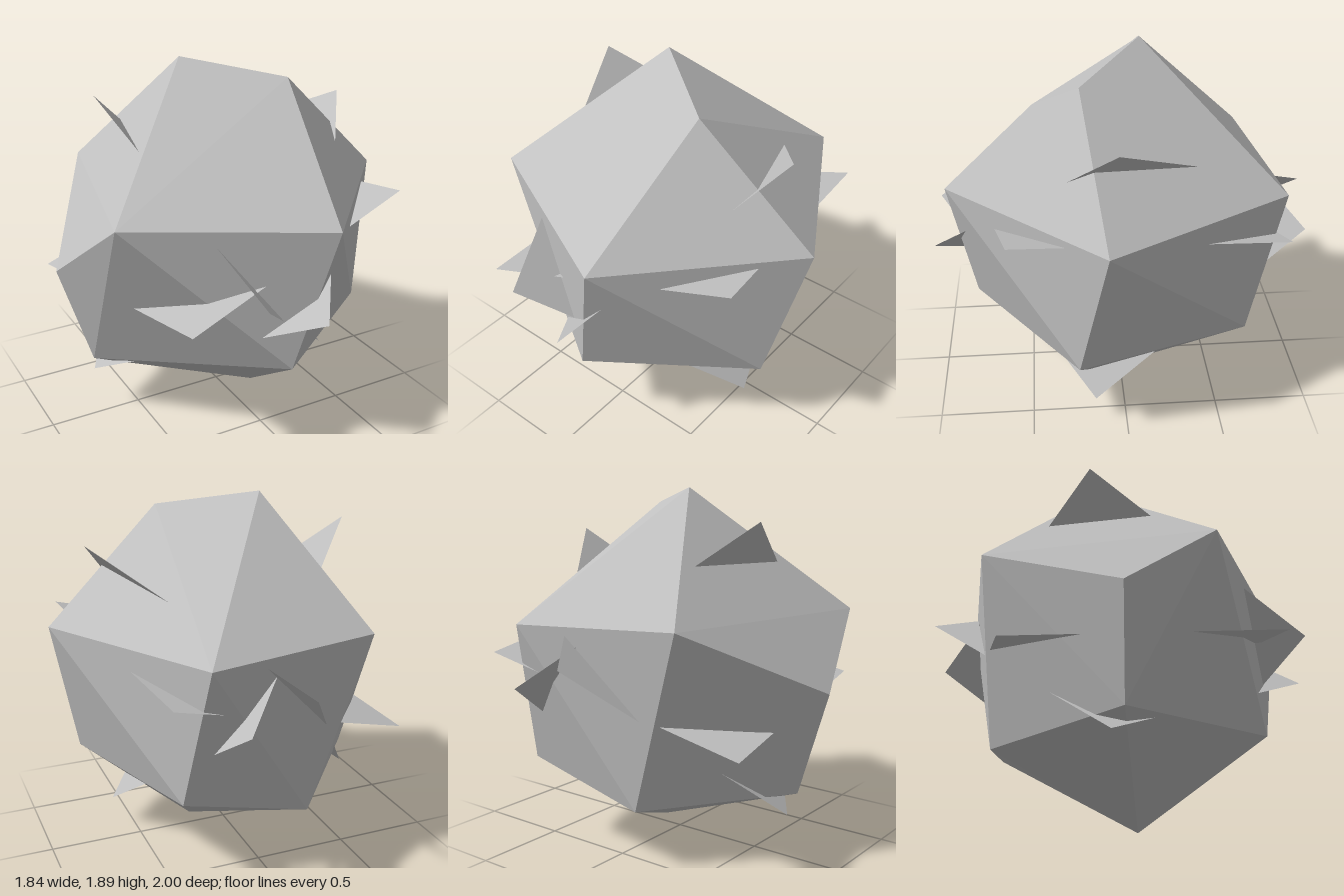
import * as THREE from 'three';
import { ConvexGeometry } from 'three/addons/geometries/ConvexGeometry.js';

// Corners of the faceted body
const BODY = [
  [-0.15, 1.89, -0.12], [0.3, 1.8, 0.21],
  [-0.78, 1.26, 0.46], [0.18, 1.225, 0.9], [0.92, 1.225, 0.11],
  [0.39, 1.225, -0.83], [-0.51, 1.26, -0.71],
  [-0.92, 0.9, 0], [0, 0.48, 0.79], [0.76, 0.48, 0.25], [0.47, 0.48, -0.64],
  [-0.75, 0.35, 0.01], [-0.21, 0.32, -0.64], [0.17, 0, 0.11],
];

// Two perpendicular corner directions for each square sheet
const SHEETS = {
  levelSheet: [[0.78, 0.275, 0.58], [0.58, 0.12, -0.82]],
  leftLeaningSheet: [[-0.607, 0.785, -0.163], [0.255, 0, -0.975]],
  rightLeaningSheet: [[0.725, 0.695, 0.05], [-0.055, 0.135, -0.995]],
};

export function createModel() {
  const model = new THREE.Group();
  const grey = new THREE.MeshStandardMaterial({ color: 0xc0c0c0, side: THREE.DoubleSide, flatShading: true });
  grey.name = 'grey';

  // Faceted rock body
  const body = new THREE.Mesh(new ConvexGeometry(BODY.map((p) => new THREE.Vector3(...p))), grey);
  body.name = 'body';
  model.add(body);

  // Thin square sheets through the centre, with only their corners showing
  for (const [name, [a, b]] of Object.entries(SHEETS)) {
    const u = new THREE.Vector3(...a).normalize();
    const n = u.clone().cross(new THREE.Vector3(...b)).normalize();
    const v = n.clone().cross(u);
    const geometry = new THREE.CircleGeometry(1.01, 4);
    geometry.applyMatrix4(new THREE.Matrix4().makeBasis(u, v, n));
    const sheet = new THREE.Mesh(geometry, grey);
    sheet.name = name;
    sheet.position.y = 0.945;
    model.add(sheet);
  }
  return model;
}
